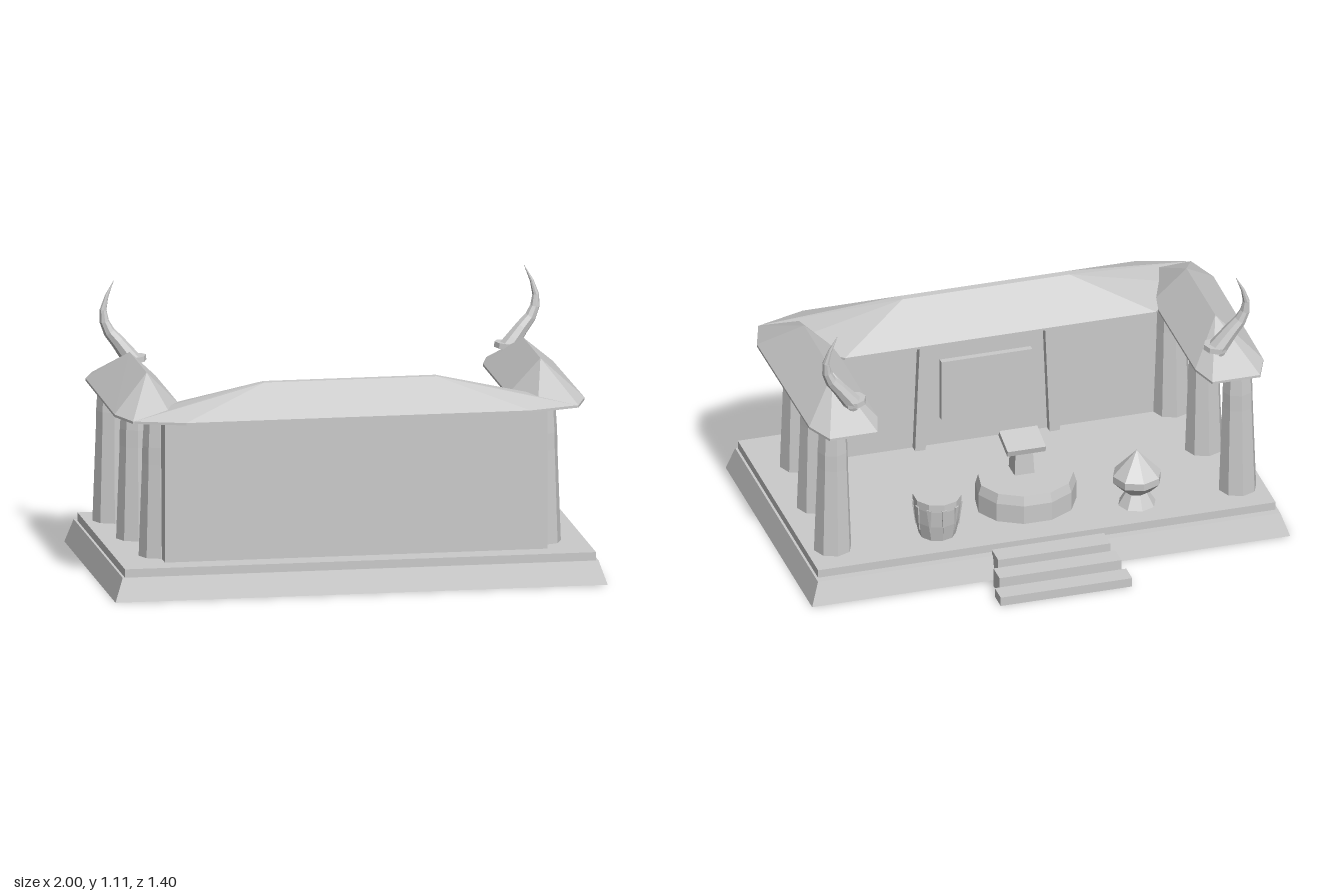
import * as THREE from 'three';
import { ConvexGeometry } from 'three/addons/geometries/ConvexGeometry.js';

export function createModel() {
  const model = new THREE.Group();
  model.name = 'openTemple';
  const stone = new THREE.MeshStandardMaterial({ color: 0xcacaca, flatShading: true, side: THREE.DoubleSide });
  stone.name = 'stone';

  const add = (name, geometry, x = 0, y = 0, z = 0) => {
    const mesh = new THREE.Mesh(geometry, stone);
    mesh.name = name;
    mesh.position.set(x, y, z);
    model.add(mesh);
    return mesh;
  };
  // Box given by its limits
  const block = (name, x0, x1, y0, y1, z0, z1) =>
    add(name, new THREE.BoxGeometry(x1 - x0, y1 - y0, z1 - z0), (x0 + x1) / 2, (y0 + y1) / 2, (z0 + z1) / 2);
  // Remove a run of box faces (2 = top, 3 = bottom)
  const openBox = (geometry, first, last) =>
    geometry.setIndex([...geometry.index.array].filter((_, i) => i < first * 6 || i >= (last + 1) * 6));
  // Faceted turned shape from [radius, height] pairs, bottom to top
  const turned = (profile, sides) =>
    new THREE.LatheGeometry(profile.map(([r, y]) => new THREE.Vector2(r, y)), sides);
  const hull = points => new ConvexGeometry(points.map(p => new THREE.Vector3(...p)));
  // Hipped roof: flat eave outline of [x, z] with a thin edge, and ridge points
  const roof = (eave, ridge) =>
    hull([...eave.flatMap(([x, z]) => [[x, 0.7, z], [x, 0.71, z]]), ...ridge]);

  // Sloping hollow plinth, open below, under a floor slab
  const skirt = openBox(new THREE.BoxGeometry(2, 0.1, 1.19), 2, 3);
  const corner = skirt.attributes.position;
  for (let i = 0; i < corner.count; i++) {
    const top = corner.getY(i) > 0, front = corner.getZ(i) > 0;
    corner.setXYZ(i, Math.sign(corner.getX(i)) * (top ? 0.967 : 1), top ? 0.096 : 0,
      front ? (top ? 0.679 : 0.7) : (top ? -0.462 : -0.49));
  }
  add('plinth', skirt);
  block('plinthLedge', -0.967, 0.967, 0.094, 0.096, -0.462, 0.679);
  block('floor', -0.957, 0.957, 0.096, 0.13, -0.43, 0.675);

  // Steps, open below
  for (const [name, x, h, z0, z1] of [
    ['upperStep', 0.235, 0.115, -0.534, -0.445],
    ['middleStep', 0.255, 0.08, -0.618, -0.534],
    ['lowerStep', 0.275, 0.038, -0.7, -0.618]
  ]) openBox(block(name, -x, x, 0, h, z0, z1).geometry, 3, 3);

  // Wall with a raised panel between two pilasters
  block('wall', -0.777, 0.777, 0.13, 0.705, 0.42, 0.575);
  block('wallPanel', -0.19, 0.19, 0.25, 0.515, 0.395, 0.425);
  for (const s of [-1, 1]) {
    const pilaster = block('pilaster', -0.022, 0.022, 0.13, 0.705, 0.385, 0.425);
    pilaster.position.x = s * 0.27;
    pilaster.rotation.z = s * 0.04;
  }

  // Long main roof
  add('mainRoof', roof(
    [[-0.65, 0.21], [0.65, 0.21], [0.84, 0.4], [0.9, 0.565], [0.7, 0.63], [-0.7, 0.63], [-0.9, 0.565], [-0.84, 0.4]],
    [[-0.35, 0.823, 0.41], [0.35, 0.823, 0.41], [0.35, 0.823, 0.44], [-0.35, 0.823, 0.44]]));

  const column = turned([[0, 0.13], [0.078, 0.13], [0.064, 0.51], [0.063, 0.58], [0.055, 0.705], [0, 0.705]], 8);
  const wing = [[0.7, -0.405], [0.9, -0.405], [0.95, -0.285], [0.955, 0.42], [0.905, 0.565],
    [0.74, 0.565], [0.665, 0.3], [0.665, -0.285]];

  for (const s of [-1, 1]) {
    // Side colonnade, drawn in towards the wall, and its roof
    for (const [x, z] of [[0.78, 0.424], [0.812, 0.084], [0.847, -0.267]]) add('column', column, s * x, 0, z);
    add('sideRoof', roof(wing.map(([x, z]) => [s * x, z]),
      [[s * 0.8, 0.847, -0.117], [s * 0.8, 0.847, 0.28]]));

    // Horn: a cone bent along a curve, thinning with height
    const path = new THREE.CatmullRomCurve3([
      [0.755, 0.77, -0.262], [0.815, 0.85, -0.268], [0.868, 0.92, -0.275],
      [0.878, 1.0, -0.283], [0.834, 1.105, -0.29]
    ].map(([x, y, z]) => new THREE.Vector3(s * x, y, z)));
    const horn = new THREE.CylinderGeometry(1, 1, 1, 8, 7);
    const pos = horn.attributes.position;
    for (let i = 0; i < pos.count; i++) {
      const t = THREE.MathUtils.clamp(pos.getY(i) + 0.5, 0, 1);
      const c = path.getPoint(t), d = path.getTangent(t);
      const r = 0.001 + 0.047 * (1.105 - c.y) / 0.335;
      const w = 0.8 * r * pos.getX(i) / Math.hypot(d.x, d.y);
      pos.setXYZ(i, c.x + d.y * w, c.y - d.x * w, c.z + r * pos.getZ(i));
    }
    horn.computeVertexNormals();
    add('horn', horn);
    const collar = add('hornCollar', new THREE.CylinderGeometry(0.05, 0.05, 0.022, 8), s * 0.757, 0.788, -0.263);
    collar.rotation.z = -s * 0.1;
  }

  // Round altar with a lectern
  const altar = add('altar', turned([[0, 0.13], [0.207, 0.13], [0.207, 0.21], [0.195, 0.25], [0, 0.25]], 11), 0, 0, -0.137);
  altar.scale.z = 0.86;
  const stand = new THREE.CylinderGeometry(0.05, 0.06, 0.14, 4, 1);
  stand.rotateY(Math.PI / 4);
  add('lecternStand', stand, 0, 0.3, -0.082);
  const board = add('lecternBoard', new THREE.BoxGeometry(0.16, 0.025, 0.125), 0, 0.385, -0.092);
  board.rotation.x = -0.26;

  // Drum with slim wedge pegs below its rim
  const dx = 0.41, dz = -0.27;
  add('drum', turned([[0, 0.13], [0.075, 0.13], [0.09, 0.2], [0.098, 0.27], [0.098, 0.305], [0, 0.305]], 10), dx, 0, dz);
  const peg = hull([[-0.01, 0.28, 0.085], [0.01, 0.28, 0.085], [-0.01, 0.28, 0.102], [0.01, 0.28, 0.102],
    [-0.004, 0.17, 0.075], [0.004, 0.17, 0.075], [0, 0.17, 0.088]]);
  for (let i = 0; i < 10; i++) add('drumPeg', peg, dx, 0, dz).rotation.y = i * Math.PI / 5;

  // Brazier with a pointed heap
  add('brazier', turned([[0, 0.13], [0.078, 0.13], [0.045, 0.185], [0.06, 0.195], [0.1, 0.235],
    [0.1, 0.265], [0, 0.372]], 8), -0.425, 0, -0.27);

  return model;
}
